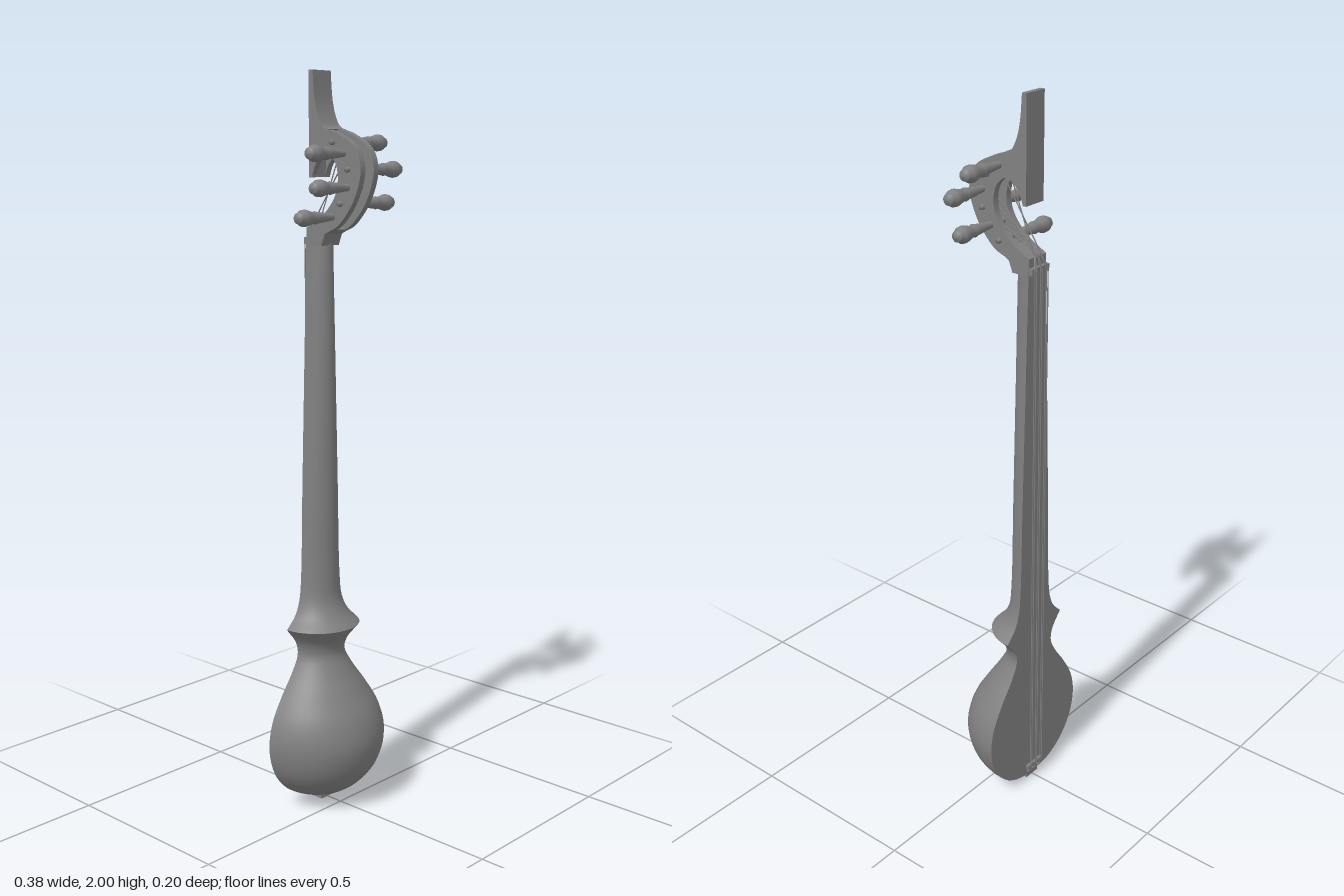
import * as THREE from 'three';

const BACK = -0.09; // plane of the flat soundboard
const V3 = (x, y, z) => new THREE.Vector3(x, y, z);

export function createModel() {
  const wood = new THREE.MeshStandardMaterial({ color: 0x808080 });
  wood.name = 'grey wood';
  const group = new THREE.Group();
  const add = (name, geometry, parent = group) => {
    const mesh = new THREE.Mesh(geometry, wood);
    mesh.name = name;
    parent.add(mesh);
    return mesh;
  };

  // Stations: half width, height, depth
  const sample = (stations, n) =>
    new THREE.CatmullRomCurve3(stations.map(s => V3(...s)), false, 'centripetal').getPoints(n);
  const bowlRings = sample([
    [0.005, 0.015, 0.005], [0.065, 0.022, 0.065], [0.125, 0.055, 0.125], [0.172, 0.115, 0.172],
    [0.19, 0.19, 0.19], [0.178, 0.26, 0.176], [0.14, 0.33, 0.136], [0.098, 0.39, 0.098],
    [0.077, 0.435, 0.078], [0.083, 0.47, 0.086], [0.118, 0.515, 0.12]], 44);
  const neckRings = sample([
    [0.118, 0.515, 0.12], [0.085, 0.55, 0.088], [0.069, 0.59, 0.07], [0.062, 0.65, 0.065],
    [0.055, 0.9, 0.062], [0.046, 1.2, 0.059], [0.035, 1.57, 0.055]], 36);

  // Half-round shell swept through the stations
  function halfShell(rings, sides = 20) {
    const pos = [], index = [];
    rings.forEach((r, j) => {
      for (let i = 0; i <= sides; i++) {
        const a = Math.PI * i / sides;
        pos.push(r.x * Math.cos(a), r.y, BACK + r.z * Math.sin(a));
        if (j && i) {
          const d = j * (sides + 1) + i, c = d - 1, b = d - sides - 1, a0 = b - 1;
          index.push(a0, c, b, b, c, d);
        }
      }
    });
    const g = new THREE.BufferGeometry();
    g.setAttribute('position', new THREE.Float32BufferAttribute(pos, 3));
    g.setIndex(index);
    g.computeVertexNormals();
    return g;
  }
  add('bowl', halfShell(bowlRings));
  add('neck', halfShell(neckRings));

  // Flat soundboard and fingerboard closing the shells
  const edge = [...bowlRings, ...neckRings.slice(1)];
  const outline = [...edge.map(p => new THREE.Vector2(p.x, p.y)),
    ...edge.slice().reverse().map(p => new THREE.Vector2(-p.x, p.y))];
  add('soundboard', new THREE.ShapeGeometry(new THREE.Shape(outline)).rotateY(Math.PI).translate(0, 0, BACK));

  // Side profile given as (z, y), extruded across x
  function sideSlab(shape, width, x = 0) {
    return new THREE.ExtrudeGeometry(shape, { depth: width, bevelEnabled: false, curveSegments: 24 })
      .rotateY(-Math.PI / 2).translate(x + width / 2, 0, 0);
  }
  const vec = list => list.map(p => new THREE.Vector2(...p));

  // Curved pegbox cheeks with an open slot between them
  const cheek = new THREE.Shape();
  cheek.moveTo(-0.09, 1.555);
  cheek.lineTo(-0.037, 1.555);
  cheek.splineThru(vec([[-0.025, 1.585], [0.025, 1.61], [0.075, 1.67], [0.1, 1.745], [0.08, 1.805],
    [0.02, 1.84], [-0.035, 1.862], [-0.058, 1.92], [-0.066, 2]]));
  cheek.lineTo(-0.08, 2);
  cheek.lineTo(-0.08, 1.73);
  cheek.lineTo(-0.07, 1.73);
  cheek.splineThru(vec([[-0.055, 1.765], [-0.02, 1.79], [0.012, 1.768], [0.022, 1.725],
    [0.01, 1.68], [-0.03, 1.635], [-0.09, 1.6]]));
  for (const s of [1, -1]) add('pegboxCheek', sideSlab(cheek, 0.018, s * 0.025));

  // Solid ends of the pegbox
  const head = new THREE.Shape();
  head.moveTo(-0.08, 1.73);
  head.lineTo(-0.068, 1.73);
  head.lineTo(-0.064, 1.845);
  head.lineTo(-0.01, 1.851);
  head.splineThru(vec([[-0.035, 1.862], [-0.058, 1.92], [-0.066, 2]]));
  head.lineTo(-0.08, 2);
  add('headPlate', sideSlab(head, 0.066));
  const heel = new THREE.Shape(vec([[-0.09, 1.555], [-0.037, 1.555], [-0.025, 1.585], [0, 1.597], [-0.04, 1.625], [-0.09, 1.6]]));
  add('pegboxHeel', sideSlab(heel, 0.066));

  // Turned tuning pegs: [side, y, z]
  const pegProfile = vec([[0, -0.042], [0.007, -0.042], [0.008, 0], [0.009, 0.04], [0.012, 0.065],
    [0.015, 0.092], [0.017, 0.1], [0.014, 0.107], [0.018, 0.12], [0.022, 0.135], [0.021, 0.147],
    [0.014, 0.155], [0.014, 0.162], [0, 0.165]]);
  const pegs = [[1, 1.818, 0.005], [-1, 1.79, 0.042], [1, 1.75, 0.058],
    [-1, 1.705, 0.056], [1, 1.664, 0.032], [-1, 1.63, 0.003]];
  for (const [side, y, z] of pegs) {
    const peg = add('tuningPeg', new THREE.LatheGeometry(pegProfile, 16));
    peg.rotation.z = -side * Math.PI / 2;
    peg.position.set(0, y, z);
  }

  // Nut, bridge and end block
  const block = (name, w, h, d, x, y, z) => add(name, new THREE.BoxGeometry(w, h, d).translate(x, y, z));
  block('nut', 0.066, 0.018, 0.014, 0, 1.567, -0.094);
  block('bridge', 0.066, 0.012, 0.012, 0, 0.045, -0.093);
  block('endBlock', 0.05, 0.03, 0.036, 0, 0.015, -0.068);

  // Three pairs of strings, running over the nut to the pegs
  [-0.026, -0.019, -0.0035, 0.0035, 0.019, 0.026].forEach((x, i) => {
    const [, py, pz] = pegs[[1, 3, 5, 4, 2, 0][i]];
    const stops = [V3(x, 0.025, -0.09), V3(x, 0.045, -0.101), V3(x, 1.567, -0.103),
      V3(x * 0.5, 1.605, -0.09), V3(x * 0.4, py, pz - 0.008)];
    const path = new THREE.CurvePath();
    for (let k = 1; k < stops.length; k++) path.add(new THREE.LineCurve3(stops[k - 1], stops[k]));
    path.curves.forEach(c => add('string', new THREE.TubeGeometry(c, 1, 0.0016, 6)));
    const pin = add('stringPin', new THREE.SphereGeometry(0.004, 8, 6));
    pin.position.set(x, 0.027, -0.092);
  });

  return group;
}
